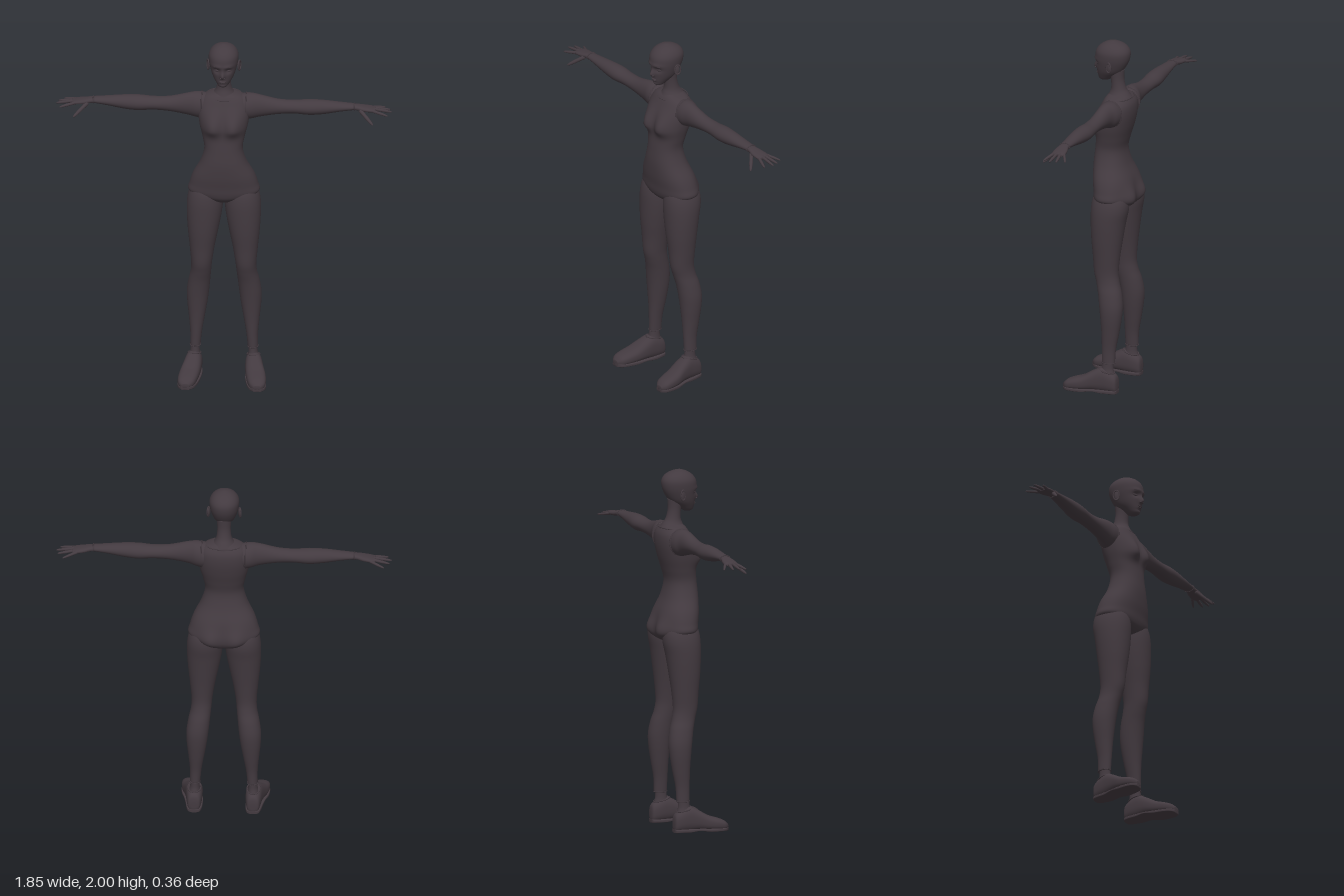
import * as THREE from 'three';

const AXES = { x: ['x', 'y', 'z'], y: ['y', 'z', 'x'], z: ['z', 'x', 'y'] };

// Spline through the cross-section rows; u runs 0..rows-1
function rowAt(rows, u) {
  const last = rows.length - 1;
  const i = Math.min(Math.floor(u), last - 1), f = u - i;
  const r = (k) => rows[Math.max(0, Math.min(last, k))];
  return rows[i].map((p1, c) => {
    const p0 = r(i - 1)[c], p2 = r(i + 1)[c], p3 = r(i + 2)[c];
    return p1 + 0.5 * f * (p2 - p0 + f * (2 * p0 - 5 * p1 + 4 * p2 - p3 + f * (3 * (p1 - p2) + p3 - p0)));
  });
}

// Point on the oval of a row [t, aMin, aMax, bMin, bMax]
function ovalPoint(axis, row, angle, power, grow = 0) {
  const [t, a0, a1, b0, b1] = row;
  const bend = (v) => Math.sign(v) * Math.pow(Math.abs(v), 2 / power);
  const [T, A, B] = AXES[axis];
  const p = new THREE.Vector3();
  p[T] = t;
  p[A] = (a0 + a1) / 2 + ((a1 - a0) / 2 + grow) * bend(Math.cos(angle));
  p[B] = (b0 + b1) / 2 + ((b1 - b0) / 2 + grow) * bend(Math.sin(angle));
  return p;
}

// Smooth closed body lofted through oval cross-sections
function loft(axis, rows, { power = 2, sides = 40, steps = 6, deform } = {}) {
  const n = (rows.length - 1) * steps, pos = [], index = [];
  const add = (p) => { if (deform) deform(p); pos.push(p.x, p.y, p.z); };
  for (let i = 0; i <= n; i++) {
    const row = rowAt(rows, i / steps);
    for (let j = 0; j < sides; j++) add(ovalPoint(axis, row, (j / sides) * Math.PI * 2, power));
  }
  for (const row of [rows[0], rows[rows.length - 1]]) {
    const mid = [row[0], (row[1] + row[2]) / 2, (row[1] + row[2]) / 2, (row[3] + row[4]) / 2, (row[3] + row[4]) / 2];
    add(ovalPoint(axis, mid, 0, power));
  }
  const bottom = (n + 1) * sides, top = bottom + 1;
  for (let j = 0; j < sides; j++) {
    const k = (j + 1) % sides;
    for (let i = 0; i < n; i++) {
      const a = i * sides + j, b = i * sides + k;
      index.push(a, b, b + sides, a, b + sides, a + sides);
    }
    index.push(bottom, k, j, top, n * sides + j, n * sides + k);
  }
  const g = new THREE.BufferGeometry();
  g.setAttribute('position', new THREE.Float32BufferAttribute(pos, 3));
  g.setIndex(index);
  g.computeVertexNormals();
  return g;
}

// Thin seam following an oval
function seam(axis, row, power, grow, radius, deform) {
  const pts = [];
  for (let j = 0; j < 32; j++) {
    const p = ovalPoint(axis, row, (j / 32) * Math.PI * 2, power, grow);
    if (deform) deform(p);
    pts.push(p);
  }
  return new THREE.TubeGeometry(new THREE.CatmullRomCurve3(pts, true), 64, radius, 6, true);
}

// Tapered, rounded finger between two points
function finger(from, to, r) {
  const a = new THREE.Vector3(...from), d = new THREE.Vector3(...to).sub(a), L = d.length();
  const profile = [[0, -r], [r * 0.8, -r * 0.5], [r, 0], [r * 0.85, L * 0.35], [r * 0.9, L * 0.5], [r * 0.65, L * 0.85], [r * 0.4, L * 0.97], [0, L]];
  const g = new THREE.LatheGeometry(profile.map((p) => new THREE.Vector2(...p)), 12);
  g.applyQuaternion(new THREE.Quaternion().setFromUnitVectors(new THREE.Vector3(0, 1, 0), d.normalize()));
  return g.translate(a.x, a.y, a.z);
}

function ellipsoid(x, y, z, rx, ry, rz, turn = 0, tilt = 0) {
  return new THREE.SphereGeometry(1, 24, 16).scale(rx, ry, rz).rotateZ(tilt).rotateY(turn).translate(x, y, z);
}

function mirrored(geometry) {
  const g = geometry.clone().scale(-1, 1, 1), ix = g.index;
  for (let i = 0; i < ix.count; i += 3) {
    const b = ix.getX(i + 1);
    ix.setX(i + 1, ix.getX(i + 2));
    ix.setX(i + 2, b);
  }
  return g;
}

const hill = (v, mid, width) => Math.exp(-(((v - mid) / width) ** 2));
const symmetric = (rows) => rows.map(([y, z0, z1, w]) => [y, z0, z1, -w, w]);

export function createModel() {
  const model = new THREE.Group();
  model.name = 'mannequin';
  const charcoal = new THREE.MeshStandardMaterial({ color: 0x433a40 });
  charcoal.name = 'charcoal';
  const add = (name, g) => {
    const m = new THREE.Mesh(g, charcoal);
    m.name = name;
    model.add(m);
  };
  const pair = (name, g) => {
    add('left' + name, g);
    add('right' + name, mirrored(g));
  };

  // Torso with bust and buttocks
  const shapeTorso = (p) => {
    const x = Math.abs(p.x);
    if (p.z > -0.02) p.z += 0.034 * hill(x, 0.06, 0.05) * hill(p.y, p.y > 1.52 ? 1.52 : 1.515, p.y > 1.52 ? 0.07 : 0.04);
    if (p.z < -0.06) p.z -= 0.03 * hill(x, 0.075, 0.06) * hill(p.y, 1.11, 0.07);
  };
  add('torso', loft('y', symmetric([
    [1.045, -0.1, -0.03, 0.012], [1.06, -0.135, 0.015, 0.06], [1.085, -0.152, 0.045, 0.14],
    [1.115, -0.157, 0.057, 0.195], [1.16, -0.155, 0.063, 0.188], [1.22, -0.145, 0.072, 0.168],
    [1.3, -0.115, 0.076, 0.127], [1.38, -0.1, 0.07, 0.106], [1.45, -0.115, 0.063, 0.117],
    [1.52, -0.135, 0.06, 0.134], [1.59, -0.148, 0.048, 0.143], [1.645, -0.147, 0.026, 0.135],
    [1.68, -0.13, 0.008, 0.105], [1.7, -0.11, -0.01, 0.05],
  ]), { power: 2.25, sides: 72, deform: shapeTorso }));
  add('neckline', seam('y', [1.677, -0.134, 0.012, -0.098, 0.098], 2.2, 0.001, 0.003, (p) => { p.y -= 0.1 * (p.z + 0.06); }));

  // Neck
  add('neck', loft('y', symmetric([
    [1.64, -0.14, 0.015, 0.09], [1.675, -0.134, 0.008, 0.08], [1.7, -0.118, -0.004, 0.054],
    [1.73, -0.098, -0.014, 0.041], [1.78, -0.086, -0.012, 0.037], [1.84, -0.088, 0, 0.042],
  ])));

  // Head with eye sockets, nose and chin
  const shapeHead = (p) => {
    if (p.z < 0.01) return;
    const x = Math.abs(p.x);
    p.z -= 0.012 * hill(x, 0.032, 0.02) * hill(p.y, 1.872, 0.015);
    p.z += 0.006 * hill(x, 0.03, 0.03) * hill(p.y, 1.897, 0.01);
    p.z += 0.02 * hill(x, 0, 0.011) * hill(p.y, 1.838, p.y > 1.838 ? 0.026 : 0.009);
    p.z -= 0.004 * hill(x, 0, 0.02) * hill(p.y, 1.79, 0.006);
  };
  add('head', loft('y', symmetric([
    [1.766, 0.012, 0.046, 0.012], [1.774, -0.005, 0.059, 0.026], [1.795, -0.035, 0.066, 0.041],
    [1.825, -0.075, 0.07, 0.059], [1.86, -0.1, 0.075, 0.071], [1.9, -0.117, 0.078, 0.08],
    [1.94, -0.12, 0.073, 0.081], [1.97, -0.102, 0.052, 0.066], [1.99, -0.067, 0.02, 0.04],
    [2.0, -0.03, -0.012, 0.008],
  ]), { power: 2.1, sides: 96, deform: shapeHead }));
  pair('Eye', ellipsoid(0.032, 1.871, 0.056, 0.016, 0.007, 0.006, 0.4, 0.12));
  pair('Brow', ellipsoid(0.034, 1.895, 0.069, 0.019, 0.0025, 0.004, 0.4, 0.15));
  pair('Nostril', ellipsoid(0.008, 1.833, 0.076, 0.006, 0.005, 0.008));
  add('upperLip', ellipsoid(0, 1.809, 0.067, 0.019, 0.004, 0.007));
  add('lowerLip', ellipsoid(0, 1.802, 0.065, 0.015, 0.005, 0.007));
  pair('Ear', ellipsoid(0.083, 1.868, -0.03, 0.006, 0.028, 0.016, -0.35));
  pair('EarRim', new THREE.TorusGeometry(0.02, 0.004, 8, 28).scale(0.85, 1.4, 1).rotateY(Math.PI / 2 - 0.4).translate(0.087, 1.868, -0.033));

  // Arms
  pair('Arm', loft('x', [
    [0.07, 1.565, 1.675, -0.11, -0.01], [0.11, 1.54, 1.686, -0.125, 0.002], [0.15, 1.543, 1.69, -0.12, 0.002],
    [0.2, 1.557, 1.683, -0.103, -0.006], [0.3, 1.575, 1.66, -0.097, -0.012], [0.39, 1.581, 1.655, -0.1, -0.012],
    [0.47, 1.576, 1.661, -0.105, -0.006], [0.55, 1.583, 1.66, -0.098, -0.01], [0.64, 1.6, 1.652, -0.09, -0.018],
    [0.72, 1.612, 1.645, -0.083, -0.026],
  ]));
  pair('Armhole', seam('x', [0.122, 1.541, 1.688, -0.125, 0.003], 2, 0.001, 0.0035));
  pair('Cuff', seam('x', [0.72, 1.611, 1.646, -0.084, -0.025], 2, 0, 0.003));

  // Hands
  pair('Palm', loft('x', [
    [0.7, 1.614, 1.643, -0.08, -0.029], [0.735, 1.612, 1.641, -0.083, -0.026], [0.77, 1.606, 1.635, -0.092, -0.02],
    [0.81, 1.604, 1.628, -0.097, -0.02], [0.835, 1.605, 1.622, -0.09, -0.025],
  ], { power: 2.4, sides: 24 }));
  [
    ['LittleFinger', [0.81, 1.614, -0.09], [0.886, 1.598, -0.13], 0.0085],
    ['RingFinger', [0.82, 1.616, -0.073], [0.915, 1.602, -0.087], 0.0095],
    ['MiddleFinger', [0.825, 1.617, -0.053], [0.925, 1.603, -0.052], 0.0095],
    ['IndexFinger', [0.815, 1.615, -0.034], [0.905, 1.597, -0.006], 0.0095],
    ['Thumb', [0.755, 1.613, -0.03], [0.826, 1.555, 0.03], 0.012],
  ].forEach(([name, from, to, r]) => pair(name, finger(from, to, r)));

  // Legs
  pair('Leg', loft('y', [
    [0.17, -0.102, -0.028, 0.13, 0.187], [0.25, -0.106, -0.026, 0.122, 0.187], [0.34, -0.122, -0.023, 0.107, 0.195],
    [0.43, -0.136, -0.016, 0.092, 0.204], [0.5, -0.14, -0.008, 0.083, 0.205], [0.57, -0.13, 0.003, 0.076, 0.195],
    [0.63, -0.113, 0.018, 0.07, 0.182], [0.69, -0.105, 0.033, 0.064, 0.18], [0.78, -0.112, 0.04, 0.05, 0.188],
    [0.88, -0.125, 0.05, 0.03, 0.198], [0.98, -0.14, 0.055, 0.012, 0.204], [1.06, -0.155, 0.055, 0.004, 0.202],
    [1.12, -0.15, 0.045, 0.01, 0.188], [1.17, -0.12, 0.02, 0.04, 0.16],
  ], { power: 2.1 }));
  pair('AnkleCuff', seam('y', [0.172, -0.102, -0.028, 0.13, 0.187], 2.1, 0, 0.003));
  pair('Ankle', loft('y', [
    [0.06, -0.105, -0.01, 0.125, 0.2], [0.11, -0.1, -0.015, 0.13, 0.193], [0.14, -0.094, -0.026, 0.134, 0.186],
    [0.18, -0.094, -0.03, 0.136, 0.183],
  ]));

  // Shoes with soles
  const shoe = [
    [-0.122, 0.147, 0.177, 0.025, 0.065], [-0.114, 0.13, 0.195, 0.005, 0.1], [-0.08, 0.121, 0.205, 0.005, 0.125],
    [-0.035, 0.119, 0.212, 0.005, 0.142], [0.015, 0.121, 0.223, 0.008, 0.122], [0.07, 0.129, 0.238, 0.005, 0.09],
    [0.12, 0.139, 0.243, 0.004, 0.073], [0.16, 0.154, 0.238, 0.004, 0.057], [0.182, 0.178, 0.218, 0.012, 0.036],
  ];
  pair('Shoe', loft('z', shoe, { power: 2.5 }));
  const sole = shoe.map(([z, x0, x1]) => [z, x0 - 0.001, x1 + 0.001, Math.abs(z - 0.01) < 0.04 ? 0.008 : 0, 0.02]);
  pair('Sole', loft('z', sole, { power: 5 }));
  pair('ShoeOpening', seam('y', [0.125, -0.1, -0.012, 0.127, 0.198], 2, 0, 0.004, (p) => { p.y += 0.25 * (p.z + 0.056); }));

  return model;
}
